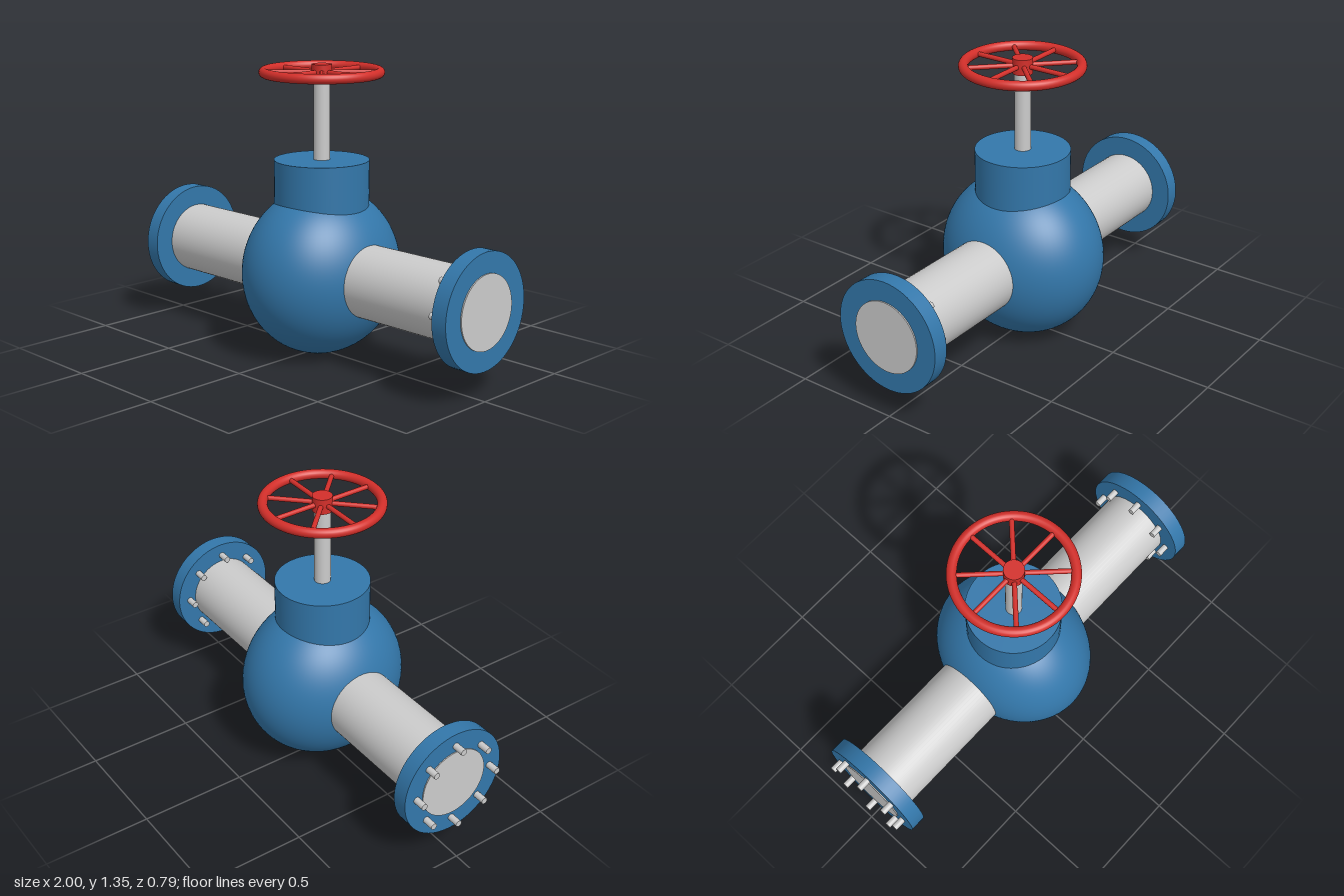
import * as THREE from 'three';

const grey = new THREE.MeshStandardMaterial({ color: 0xcccccc });
const blue = new THREE.MeshStandardMaterial({ color: 0x3377aa });
const red = new THREE.MeshStandardMaterial({ color: 0xd32f2a });

const AXIS_Y = 0.393; // height of the pipe's centre line

function add(parent, name, geometry, material, x = 0, y = 0, z = 0) {
  const mesh = new THREE.Mesh(geometry, material);
  mesh.name = name;
  mesh.position.set(x, y, z);
  parent.add(mesh);
  return mesh;
}

// Cylinder lying along x between x0 and x1
function rodX(parent, name, radius, x0, x1, material, y = 0, z = 0, sides = 64) {
  const geometry = new THREE.CylinderGeometry(radius, radius, x1 - x0, sides).rotateZ(-Math.PI / 2);
  return add(parent, name, geometry, material, (x0 + x1) / 2, y, z);
}

// Upright cylinder between y0 and y1
function rodY(parent, name, radius, y0, y1, material, sides = 64) {
  return add(parent, name, new THREE.CylinderGeometry(radius, radius, y1 - y0, sides), material, 0, (y0 + y1) / 2);
}

// Flange disc with a ring of eight bolts on its left (-x) face
function makeFlange(name, x0, x1) {
  const flange = new THREE.Group();
  flange.name = name;
  flange.position.y = AXIS_Y;
  rodX(flange, 'flangeDisc', 0.262, x0, x1, blue);
  for (let i = 0; i < 8; i++) {
    const a = (i * Math.PI) / 4;
    rodX(flange, 'bolt', 0.0155, x0 - 0.055, x0 + 0.05, grey, 0.2 * Math.sin(a), 0.2 * Math.cos(a), 16);
  }
  return flange;
}

// Handwheel: rim, hub and eight spokes
function makeHandwheel() {
  const wheel = new THREE.Group();
  wheel.name = 'handwheel';
  wheel.position.y = 1.315;
  add(wheel, 'rim', new THREE.TorusGeometry(0.263, 0.0225, 20, 80).rotateX(Math.PI / 2), red);
  rodY(wheel, 'hub', 0.046, -0.036, 0.036, red, 48);
  for (let i = 0; i < 8; i++) {
    const pivot = new THREE.Group();
    pivot.name = 'spoke';
    pivot.rotation.y = (i * Math.PI) / 4;
    rodX(pivot, 'spokeRod', 0.0112, 0.02, 0.263, red, 0, 0, 16);
    wheel.add(pivot);
  }
  return wheel;
}

export function createModel() {
  const valve = new THREE.Group();
  valve.name = 'valve';

  // Everything is centred on the stem, which sits slightly off the overall middle
  const assembly = new THREE.Group();
  assembly.name = 'valveAssembly';
  assembly.position.x = 0.024;
  valve.add(assembly);

  // Body: sphere squashed along the pipe
  const body = new THREE.SphereGeometry(1, 80, 56).scale(0.339, 0.394, 0.396);
  add(assembly, 'body', body, blue, 0, 0.394);

  // Through pipe and end flanges
  rodX(assembly, 'pipe', 0.168, -0.975, 0.975, grey, AXIS_Y);
  assembly.add(makeFlange('rightFlange', -0.97, -0.895));
  assembly.add(makeFlange('leftFlange', 0.894, 0.969));

  // Bonnet, stem and handwheel
  rodY(assembly, 'bonnet', 0.219, 0.6, 0.915, blue);
  rodY(assembly, 'stem', 0.0375, 0.85, 1.3, grey, 48);
  assembly.add(makeHandwheel());

  return valve;
}
